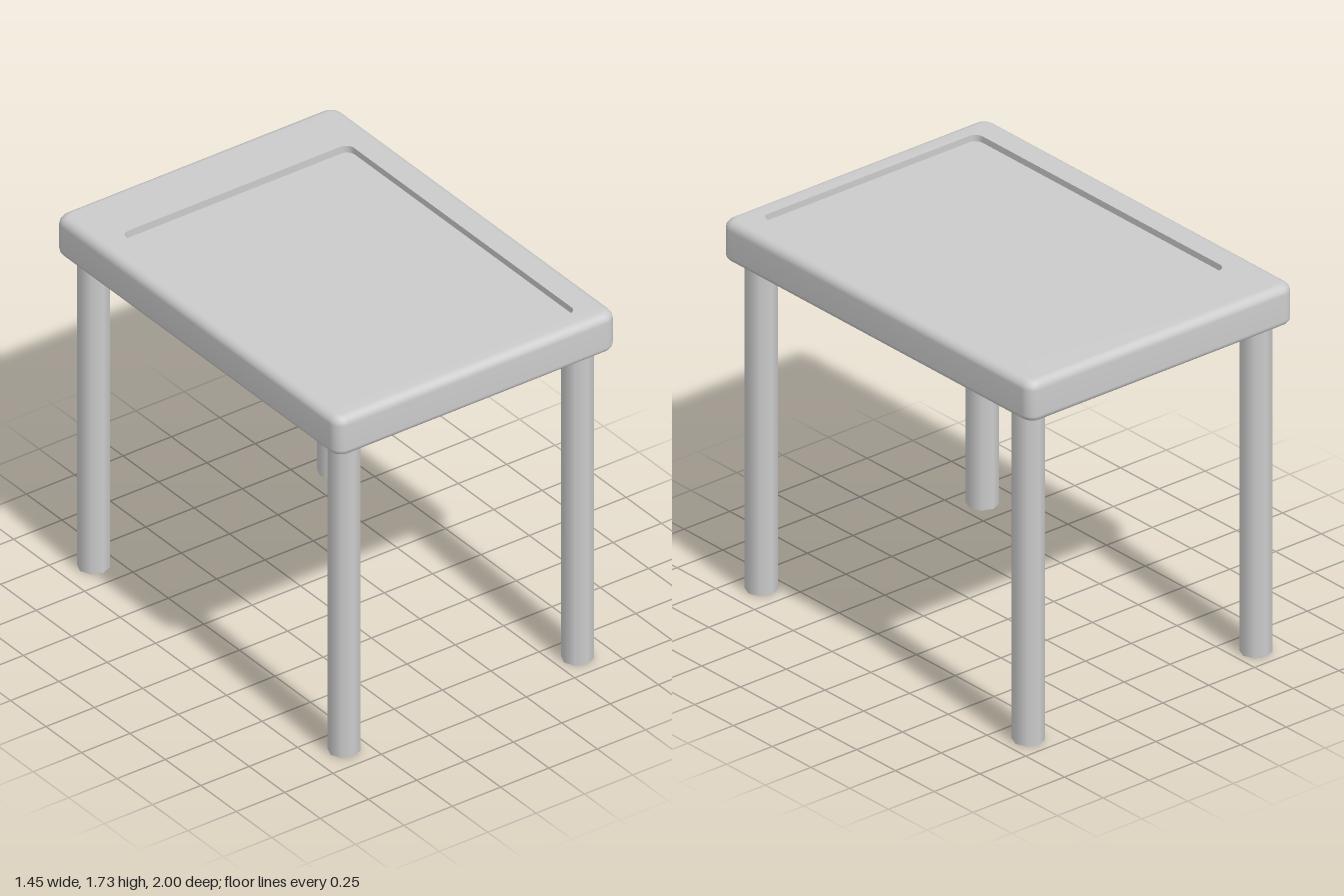
import * as THREE from 'three';

const material = new THREE.MeshStandardMaterial({ color: 0xcccccc, side: THREE.DoubleSide });

// Rounded rectangle in plan as [x, z] points
function roundedRect(x0, x1, z0, z1, r, steps = 5) {
  const corners = [[x1 - r, z1 - r], [x0 + r, z1 - r], [x0 + r, z0 + r], [x1 - r, z0 + r]];
  const points = [];
  corners.forEach(([cx, cz], q) => {
    for (let i = 0; i <= steps; i++) {
      const a = (q + i / steps) * Math.PI / 2;
      points.push([cx + r * Math.cos(a), cz + r * Math.sin(a)]);
    }
  });
  return points;
}

// Smooth skin through a list of { points, y } rings
function loft(rings) {
  const n = rings[0].points.length;
  const positions = [], index = [];
  rings.forEach(({ points, y }) => points.forEach(([x, z]) => positions.push(x, y, z)));
  for (let i = 0; i < rings.length - 1; i++) {
    for (let j = 0; j < n; j++) {
      const a = i * n + j, b = i * n + (j + 1) % n;
      index.push(a, b, a + n, b, b + n, a + n);
    }
  }
  const geometry = new THREE.BufferGeometry();
  geometry.setAttribute('position', new THREE.Float32BufferAttribute(positions, 3));
  geometry.setIndex(index);
  geometry.computeVertexNormals();
  return geometry;
}

export function createModel() {
  const group = new THREE.Group();
  const add = (name, geometry) => {
    const mesh = new THREE.Mesh(geometry, material);
    mesh.name = name;
    group.add(mesh);
    return mesh;
  };

  const top = 1.73, bottom = 1.54;
  const hole = roundedRect(-0.59, 0.585, -0.71, 0.9, 0.04);
  const outer = (inset) => roundedRect(-0.725 + inset, 0.725 - inset, -1 + inset, 1 - inset, 0.055 - inset * 0.6);

  // Table frame: flat top, rounded rim, flat underside
  const rings = [{ points: hole, y: top }];
  const steps = 4, rTop = 0.04, rBottom = 0.03;
  for (let i = 0; i <= steps; i++) {
    const a = i / steps * Math.PI / 2;
    rings.push({ points: outer(rTop * (1 - Math.sin(a))), y: top - rTop * (1 - Math.cos(a)) });
  }
  for (let i = 0; i <= steps; i++) {
    const a = i / steps * Math.PI / 2;
    rings.push({ points: outer(rBottom * (1 - Math.cos(a))), y: bottom + rBottom * (1 - Math.sin(a)) });
  }
  rings.push({ points: hole, y: bottom });
  add('tableFrame', loft(rings));

  // Inner wall of the frame opening
  add('frameInnerWall', loft([{ points: hole, y: bottom }, { points: hole, y: top }]));

  // Recessed panel, with a hairline gap at the back
  const outline = roundedRect(-0.59, 0.585, -0.704, 0.9, 0.04).map(([x, z]) => new THREE.Vector2(x, -z));
  const panel = new THREE.ExtrudeGeometry(new THREE.Shape(outline), { depth: 0.08, bevelEnabled: false });
  panel.rotateX(-Math.PI / 2);
  add('recessedPanel', panel).position.y = 1.62;

  // Hollow legs, open at the ends
  const legHeight = 1.6;
  const legGeometry = new THREE.CylinderGeometry(0.07, 0.07, legHeight, 8, 1, true);
  const legs = [
    ['frontLeftLeg', 0.605, 0.877], ['frontRightLeg', -0.603, 0.877],
    ['backLeftLeg', 0.64, -0.888], ['backRightLeg', -0.603, -0.888],
  ];
  for (const [name, x, z] of legs) add(name, legGeometry).position.set(x, legHeight / 2, z);

  return group;
}
